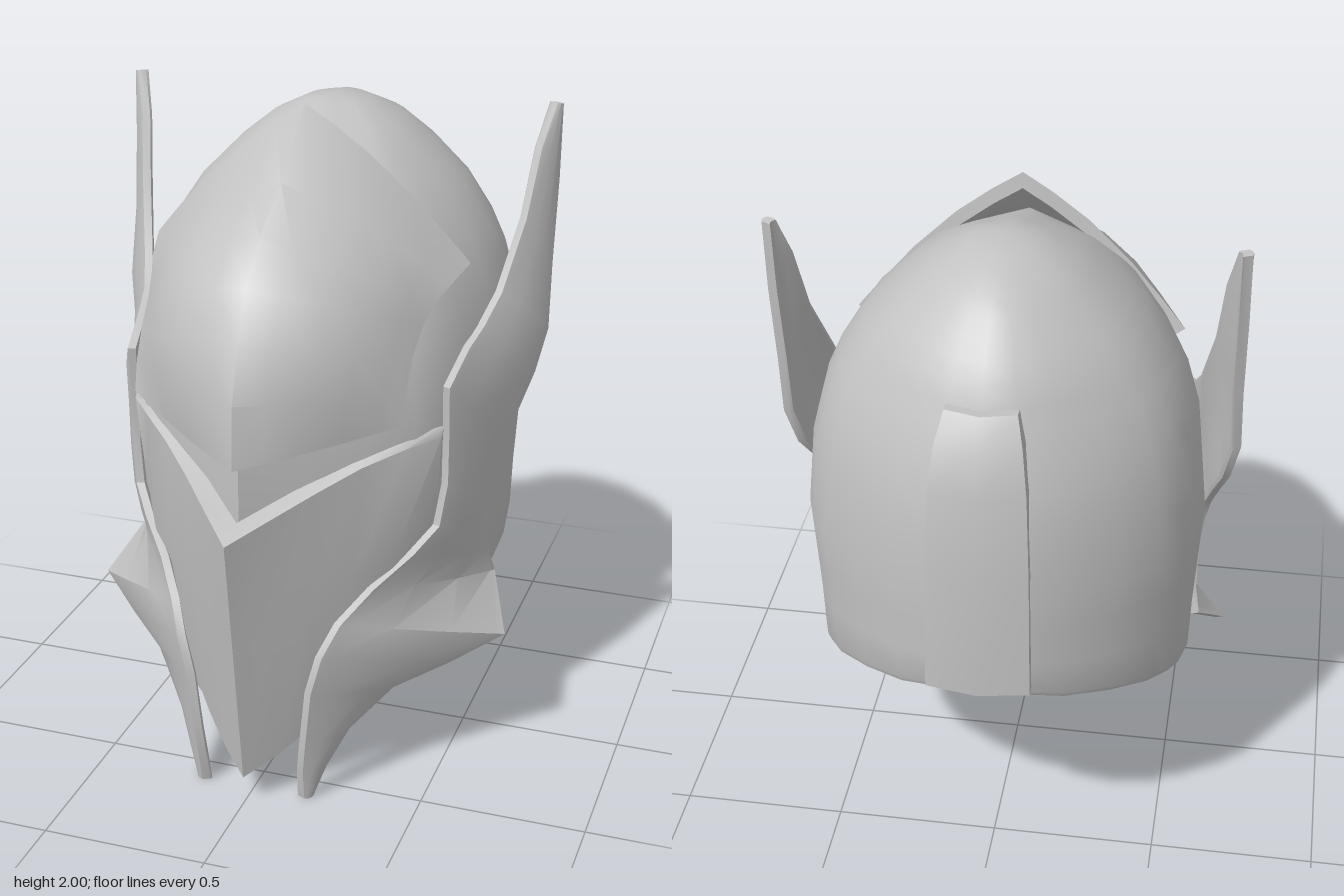
import * as THREE from 'three';
import { toCreasedNormals, mergeVertices } from 'three/addons/utils/BufferGeometryUtils.js';

const steel = new THREE.MeshStandardMaterial({ color: 0xc2c2c2, side: THREE.DoubleSide });
steel.name = 'steel';

// piecewise linear lookup in [[t, value], ...]
function look(table, t) {
  if (t <= table[0][0]) return table[0][1];
  for (let i = 1; i < table.length; i++) {
    const [a, va] = table[i - 1], [b, vb] = table[i];
    if (t <= b) return va + ((vb - va) * (t - a)) / (b - a);
  }
  return table[table.length - 1][1];
}
const mix = (a, b, t) => a.map((v, i) => v + (b[i] - v) * t);

// skin closed loops of points, one loop per section
function loft(sections, capped, crease = 0.6) {
  const n = sections[0].length, pos = sections.flat(2), idx = [];
  for (let i = 0; i < sections.length - 1; i++) {
    for (let j = 0; j < n; j++) {
      const a = i * n + j, b = i * n + ((j + 1) % n);
      idx.push(a, b, a + n, b, b + n, a + n);
    }
  }
  if (capped) {
    // each loop is an outer run followed by its inner run reversed
    const last = (sections.length - 1) * n;
    for (let j = 0; j < n / 2 - 1; j++) {
      const k = n - 1 - j;
      idx.push(j, k, j + 1, j + 1, k, k - 1);
      idx.push(last + j, last + j + 1, last + k, last + j + 1, last + k - 1, last + k);
    }
  }
  let g = new THREE.BufferGeometry();
  g.setAttribute('position', new THREE.Float32BufferAttribute(pos, 3));
  g.setIndex(idx);
  g = mergeVertices(g);
  return toCreasedNormals(g, crease);
}

function add(group, name, geometry) {
  const mesh = new THREE.Mesh(geometry, steel);
  mesh.name = name;
  group.add(mesh);
}

// height of the slanted lower rim at depth z
const RIM = [[-0.8, 0.81], [-0.7, 0.745], [-0.6, 0.705], [-0.4, 0.64], [-0.2, 0.56], [0, 0.48], [0.14, 0.42],
  [0.4, 0.29], [0.52, 0.2], [0.69, 0.1]];

function skull() {
  const halfPlan = [[0, 0.69], [0.15, 0.575], [0.3, 0.46], [0.42, 0.35], [0.48, 0.27], [0.52, 0.15], [0.57, 0],
    [0.59, -0.2], [0.575, -0.33], [0.545, -0.42], [0.49, -0.51], [0.38, -0.61], [0.25, -0.7], [0.13, -0.75], [0, -0.78]];
  const plan = [...halfPlan, ...halfPlan.slice(1, -1).reverse().map(([x, z]) => [-x, z])];
  const width = [[0.5, 0.56], [0.8, 0.57], [1.1, 0.59], [1.35, 0.565], [1.5, 0.525], [1.6, 0.48], [1.72, 0.4],
    [1.82, 0.3], [1.9, 0.2], [1.95, 0.1], [1.967, 0]];
  const back = [[1.1, -0.78], [1.35, -0.76], [1.5, -0.72], [1.6, -0.68], [1.72, -0.63], [1.82, -0.55], [1.9, -0.46],
    [1.95, -0.33], [1.967, -0.2]];
  const front = [[0.1, 0.61], [0.9, 0.69], [1.18, 0.68], [1.35, 0.64], [1.5, 0.56], [1.6, 0.49], [1.72, 0.38],
    [1.82, 0.24], [1.9, 0.04], [1.95, -0.1], [1.967, -0.2]];
  const ring = (height, s = 1, lift = 0) => plan.map(([px, pz]) => {
    const y = height(pz);
    const k = pz > -0.2 ? (look(front, y) + 0.2) / 0.89 : (look(back, y) + 0.2) / -0.58;
    return [(px * s * look(width, y)) / 0.59, y + lift, -0.2 + (pz + 0.2) * k * s];
  });
  const lower = (k) => (z) => look(RIM, z) * (1 - k) + 1.1 * k;
  // inward lip, slanted rows, then level rows up to the crown
  const rows = [ring(lower(0), 0.95, 0.04), ring(lower(0), 0.985, -0.005)];
  for (const k of [0.04, 0.35, 0.7]) rows.push(ring(lower(k)));
  for (const y of [1.1, 1.22, 1.35, 1.43, 1.5, 1.6, 1.66, 1.72, 1.77, 1.82, 1.86, 1.9, 1.93, 1.95, 1.967]) {
    rows.push(ring(() => y));
  }
  return loft(rows, false, 0.75);
}

function backRidge() {
  const rows = [[0.8, -0.8, 0.15], [1.2, -0.792, 0.145], [1.45, -0.768, 0.135], [1.58, -0.735, 0.12], [1.66, -0.685, 0.1]];
  return loft(rows.map(([y, z, w]) => [
    [-w, y, z + 0.025], [0, y, z], [w, y, z + 0.025],
    [w, y, z + 0.08], [0, y, z + 0.08], [-w, y, z + 0.08],
  ]), true);
}

function browPlate() {
  const centre = [[0, 1.11, 0.73], [0, 1.3, 0.72], [0, 1.46, 0.67], [0, 1.6, 0.6], [0, 1.71, 0.49], [0, 1.82, 0.31], [0, 2, 0.1]];
  const side = [[0.41, 1.19, 0.445], [0.41, 1.28, 0.425], [0.412, 1.37, 0.375], [0.42, 1.44, 0.3], [0.435, 1.485, 0.24],
    [0.46, 1.52, 0.17], [0.49, 1.555, 0.05]];
  const steps = [-1, -0.85, -0.65, -0.4, -0.18, 0, 0.18, 0.4, 0.65, 0.85, 1];
  return loft(centre.map((c, i) => {
    const v = i / (centre.length - 1), swell = Math.sin(Math.PI * v);
    const outer = steps.map((u) => {
      const a = Math.abs(u), p = mix(c, side[i], a), b = Math.sin(Math.PI * a);
      const x = p[0] + b * 0.035 * swell;
      return [u < 0 ? -x : x, p[1] + b * 0.045 * v, p[2] + b * (0.015 + 0.055 * swell)];
    });
    const inner = outer.map((p) => mix([0, 1.2, 0], p, 0.94)).reverse();
    if (i === 0) inner.forEach((p) => { p[1] += 0.005; });
    return [...outer, ...inner];
  }), true);
}

function facePlate() {
  const top = [[0, 0.91, 0.8], [0.1, 0.962, 0.695], [0.2, 1.012, 0.585], [0.3, 1.06, 0.485], [0.4, 1.09, 0.385], [0.48, 1.1, 0.29]];
  const base = [[0, 0.09, 0.68], [0.08, 0.14, 0.615], [0.16, 0.205, 0.54], [0.25, 0.28, 0.44], [0.35, 0.34, 0.33], [0.44, 0.38, 0.22]];
  const columns = top.map((t, i) => {
    const b = base[i], depth = 0.1 - 0.016 * i;
    const m = mix(t, b, 0.45);
    m[2] += 0.012 * i * (i < 5 ? 1 : 0);
    return [t, m, b, [b[0], b[1] + 0.01, b[2] - 0.06], [m[0] * 0.95, m[1], m[2] - 0.07], [t[0], t[1] + 0.03, t[2] - depth]];
  });
  const mirrored = columns.slice(1).reverse().map((c) => c.map(([x, y, z]) => [-x, y, z]));
  return loft([...mirrored, ...columns], true);
}

// cheek guard that rises into a pointed fin: front edge and back edge pairs
function cheekFin(s) {
  const frontEdge = [[0.665, 1.975, -0.235], [0.635, 1.85, -0.185], [0.612, 1.65, -0.12], [0.57, 1.45, -0.02],
    [0.54, 1.37, 0.06], [0.52, 1.33, 0.15], [0.5, 1.255, 0.29], [0.5, 1.1, 0.28], [0.5, 0.95, 0.28],
    [0.483, 0.82, 0.3], [0.425, 0.75, 0.37], [0.335, 0.67, 0.47], [0.265, 0.59, 0.565], [0.225, 0.5, 0.62],
    [0.195, 0.38, 0.63], [0.177, 0.2, 0.628], [0.167, 0.1, 0.62], [0.165, 0, 0.6]];
  const backEdge = [[0.678, 1.97, -0.258], [0.68, 1.75, -0.24], [0.678, 1.5, -0.205], [0.682, 1.3, -0.17],
    [0.655, 1.17, -0.135], [0.625, 1.07, -0.06], [0.6, 0.98, 0], [0.585, 0.9, 0.03], [0.575, 0.82, 0.04],
    [0.57, 0.72, 0.04], [0.57, 0.63, 0.03], [0.585, 0.55, 0], [0.66, 0.42, 0.16], [0.52, 0.36, 0.28],
    [0.38, 0.315, 0.4], [0.275, 0.21, 0.5], [0.22, 0.1, 0.555], [0.185, 0, 0.572]];
  return loft(frontEdge.map((f, i) => {
    const b = backEdge[i];
    const bulge = i > 2 && i < 12 ? 0.018 : 0.008;
    const out = [0.04, 0.3, 0.65, 0.95].map((t) => {
      const p = mix(f, b, t), k = bulge * Math.sin(Math.PI * t);
      return [p[0] + k * 0.85, p[1], p[2] + k * 0.5];
    });
    const inner = out.map(([x, y, z]) => [x - 0.028, y, z - 0.016]).reverse();
    return [f, ...out, b, [b[0] - 0.022, b[1], b[2] - 0.008], ...inner, [f[0] - 0.022, f[1], f[2] - 0.01]]
      .map(([x, y, z]) => [s * x, y, z]);
  }), true);
}

export function createModel() {
  const helmet = new THREE.Group();
  helmet.name = 'helmet';
  add(helmet, 'skullShell', skull());
  add(helmet, 'backRidge', backRidge());
  add(helmet, 'browPlate', browPlate());
  add(helmet, 'facePlate', facePlate());
  add(helmet, 'leftCheekFin', cheekFin(1));
  add(helmet, 'rightCheekFin', cheekFin(-1));
  return helmet;
}
